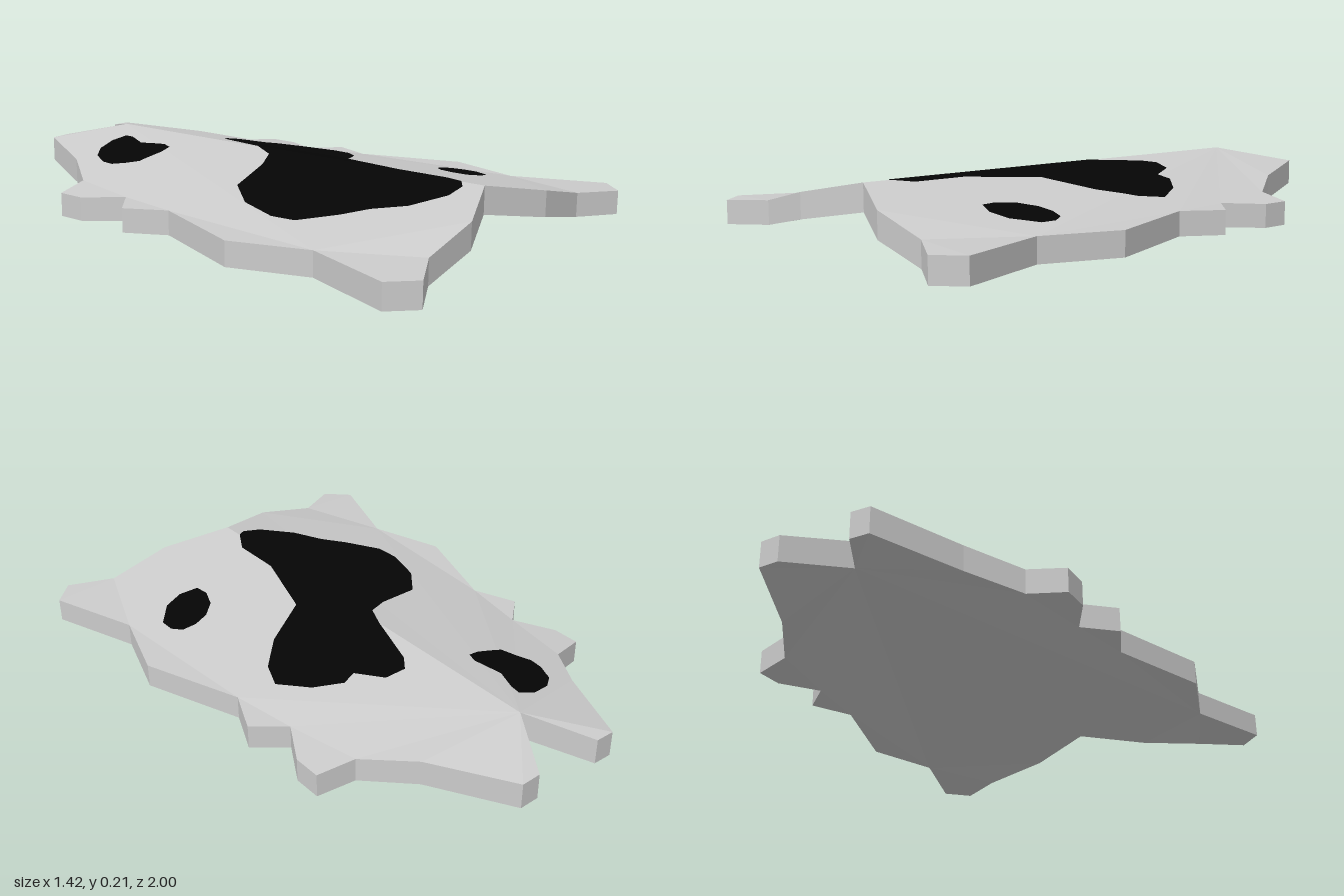
import * as THREE from 'three';

// half outline of the hide, back to front: [x, z, top height]
const HALF = [
  [0, -0.79, 0.205], [0.13, -1, 0.157], [0.2, -1, 0.155], [0.34, -0.71, 0.133],
  [0.46, -0.54, 0.1], [0.59, -0.51, 0.084], [0.59, -0.41, 0.084], [0.51, -0.27, 0.092],
  [0.615, -0.18, 0.09], [0.55, -0.03, 0.094], [0.68, 0.33, 0.09], [0.595, 0.6, 0.091],
  [0.71, 0.92, 0.092], [0.63, 1, 0.092], [0.475, 0.92, 0.102], [0.24, 0.92, 0.157], [0, 0.825, 0.205],
];
// facets: a fan from the tail notch, then the pointed flaps along the rim
const FACETS = [
  [0, 1, 2], [0, 2, 3], [0, 3, 4], [0, 4, 7], [0, 7, 9], [0, 9, 11], [0, 11, 15], [0, 15, 16],
  [4, 5, 6], [4, 6, 7], [7, 8, 9], [9, 10, 11], [11, 12, 14], [12, 13, 14], [11, 14, 15],
];
// dark patch outlines: [x, z]
const PATCHES = {
  largePatch: [
    [0.1, -0.36], [0.17, -0.345], [0.225, -0.245], [0.275, -0.257], [0.36, -0.19], [0.43, -0.08],
    [0.395, 0.01], [0.295, 0.11], [0.125, 0.205], [0.045, 0.47], [0.045, 0.66], [0, 0.74],
    [-0.035, 0.765], [-0.11, 0.76], [-0.225, 0.685], [-0.29, 0.59], [-0.365, 0.525], [-0.455, 0.42],
    [-0.46, 0.33], [-0.41, 0.18], [-0.31, 0.06], [-0.13, 0.02], [-0.045, -0.02], [0, -0.11], [0.065, -0.315],
  ],
  backPatch: [
    [-0.225, -0.7], [-0.15, -0.715], [-0.095, -0.695], [-0.1, -0.655], [-0.135, -0.575], [-0.115, -0.47],
    [-0.13, -0.43], [-0.175, -0.425], [-0.27, -0.445], [-0.32, -0.54], [-0.315, -0.59], [-0.28, -0.66],
  ],
  frontPatch: [
    [0.375, 0.42], [0.43, 0.405], [0.48, 0.415], [0.505, 0.455], [0.505, 0.51],
    [0.44, 0.585], [0.37, 0.605], [0.305, 0.585], [0.3, 0.53], [0.325, 0.465],
  ],
};

const cross = (a, b, p) => (b.x - a.x) * (p.z - a.z) - (b.z - a.z) * (p.x - a.x);
// order a triangle so that it faces up
const facingUp = ([a, b, c]) => (cross(a, b, c) > 0 ? [a, c, b] : [a, b, c]);
const under = (p) => new THREE.Vector3(p.x, p.y - 0.075 - 0.1 * p.y, p.z);

function meshFrom(points, name, color) {
  const geometry = new THREE.BufferGeometry().setFromPoints(points);
  geometry.computeVertexNormals();
  const mesh = new THREE.Mesh(geometry, new THREE.MeshStandardMaterial({ color, flatShading: true }));
  mesh.name = name;
  return mesh;
}

// clip a convex polygon (x, z) to an up-facing triangle
function clip(polygon, tri) {
  let out = polygon;
  tri.forEach((a, i) => {
    const b = tri[(i + 1) % 3];
    const source = out;
    out = [];
    source.forEach((p, j) => {
      const q = source[(j + 1) % source.length];
      const dp = cross(a, b, p), dq = cross(a, b, q);
      if (dp <= 0) out.push(p);
      if (dp * dq < 0) out.push(p.clone().lerp(q, dp / (dp - dq)));
    });
  });
  return out;
}

// lay a flat outline onto the folded top surface
function drape(outline, top) {
  const flat = outline.map(([x, z]) => new THREE.Vector2(x, z));
  const points = [];
  for (const face of THREE.ShapeUtils.triangulateShape(flat, [])) {
    const piece = face.map((i) => new THREE.Vector3(flat[i].x, 0, flat[i].y));
    for (const tri of top) {
      const { normal: n, constant } = new THREE.Plane().setFromCoplanarPoints(...tri);
      const poly = clip(piece, tri).map((p) =>
        new THREE.Vector3(p.x, -(constant + n.x * p.x + n.z * p.z) / n.y + 0.002, p.z));
      for (let i = 1; i < poly.length - 1; i++) points.push(...facingUp([poly[0], poly[i], poly[i + 1]]));
    }
  }
  return points;
}

export function createModel() {
  const group = new THREE.Group();
  group.name = 'hideRug';
  const top = [], body = [];

  for (const side of [1, -1]) {
    const rim = HALF.map(([x, z, y]) => new THREE.Vector3(side * x, y, z));
    for (const facet of FACETS) top.push(facingUp(facet.map((i) => rim[i])));
    // edge wall
    for (let i = 0; i < rim.length - 1; i++) {
      const [a, b] = side > 0 ? [rim[i], rim[i + 1]] : [rim[i + 1], rim[i]];
      const c = under(a), d = under(b);
      body.push(a, b, d, a, d, c);
    }
  }
  // top and underside
  for (const [a, b, c] of top) body.push(a, b, c, under(a), under(c), under(b));
  group.add(meshFrom(body, 'hide', 0xcccccc));

  for (const [name, outline] of Object.entries(PATCHES)) {
    group.add(meshFrom(drape(outline, top), name, 0x050505));
  }
  return group;
}
